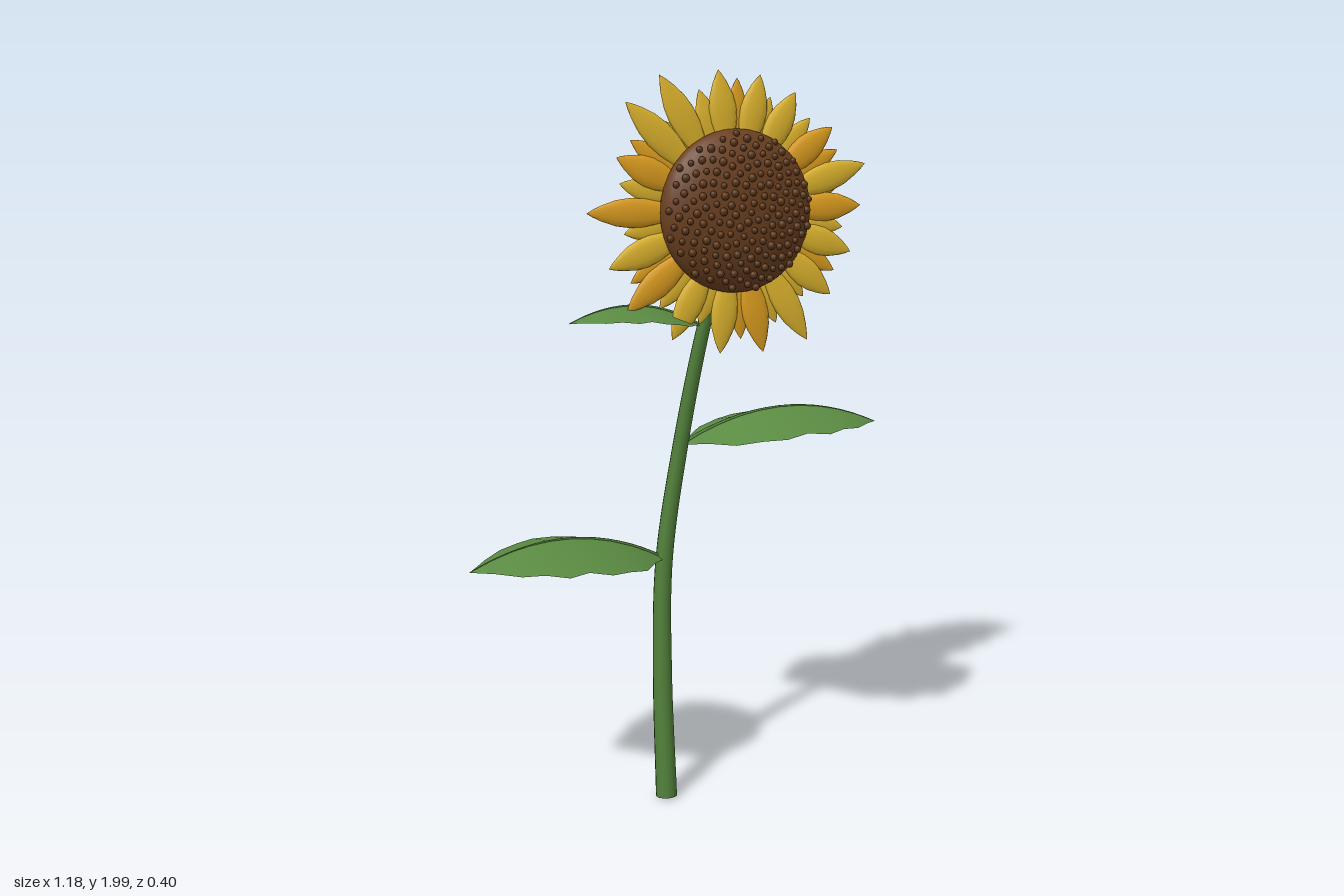
import * as THREE from 'three';
import { mergeGeometries } from 'three/addons/utils/BufferGeometryUtils.js';

const paint = (name, color, side = THREE.FrontSide) => {
  const m = new THREE.MeshStandardMaterial({ color, side });
  m.name = name;
  return m;
};

const HEAD = new THREE.Vector3(0.14, 1.635, 0.062);
const DISC_R = 0.212, DISC_D = 0.074;

// Tapered tube along a curve
function taperedTube(curve, r0, r1, steps, sides) {
  const g = new THREE.TubeGeometry(curve, steps, 1, sides);
  const p = g.attributes.position, v = new THREE.Vector3();
  for (let i = 0; i <= steps; i++) {
    const c = curve.getPointAt(i / steps);
    const r = r0 + (r1 - r0) * i / steps;
    for (let j = 0; j <= sides; j++) {
      const k = i * (sides + 1) + j;
      v.fromBufferAttribute(p, k).sub(c).multiplyScalar(r).add(c);
      p.setXYZ(k, v.x, v.y, v.z);
    }
  }
  return g;
}

// Toothed leaf outline: [distance along leaf, half width], for a leaf of length 1
const OUTLINE = [[0, 0.008], [0.09, 0.12], [0.18, 0.245], [0.29, 0.3], [0.39, 0.345], [0.5, 0.318],
  [0.6, 0.343], [0.7, 0.275], [0.8, 0.226], [0.9, 0.115], [1, 0]];

function makeLeaf(name, base, tip, leafMat, veinMat) {
  const group = new THREE.Group();
  group.name = name;
  const len = Math.abs(tip.x - base.x);
  const rib = t => new THREE.Vector3(
    base.x + (tip.x - base.x) * t,
    base.y + len * (0.6 * t - 0.53 * t * t),
    base.z + (tip.z - base.z) * t);
  // Two halves folded along the midrib
  const halves = [-1, 1].map(side => {
    const pos = [], idx = [];
    OUTLINE.forEach(([t, w], i) => {
      const c = rib(t);
      pos.push(c.x, c.y, c.z, c.x, c.y - 0.24 * w * len, c.z + side * w * len);
      if (i === 0) return;
      const a = 2 * i - 2, b = 2 * i;
      if (side * (tip.x - base.x) > 0) idx.push(a, a + 1, b, b, a + 1, b + 1);
      else idx.push(a, b, a + 1, b, b + 1, a + 1);
    });
    const g = new THREE.BufferGeometry();
    g.setAttribute('position', new THREE.Float32BufferAttribute(pos, 3));
    g.setIndex(idx);
    g.computeVertexNormals();
    return g;
  });
  const blade = new THREE.Mesh(mergeGeometries(halves), leafMat);
  blade.name = 'leafBlade';
  const curve = new THREE.CatmullRomCurve3(OUTLINE.map(o => rib(o[0])));
  const vein = new THREE.Mesh(taperedTube(curve, 0.006, 0.001, 16, 6), veinMat);
  vein.name = 'leafVein';
  group.add(blade, vein);
  return group;
}

// Pointed petal growing outward along +y from inside the disc
function petalGeometry(length, halfWidth) {
  const r0 = 0.15;
  const profile = [[0, 0.3], [0.2, 0.68], [0.4, 0.95], [0.55, 1], [0.7, 0.86], [0.85, 0.52], [0.94, 0.24], [1, 0]]
    .map(([t, w]) => new THREE.Vector2(w * halfWidth, r0 + (length - r0) * t));
  return new THREE.LatheGeometry(profile, 12).scale(1, 1, 0.28);
}

export function createModel() {
  const model = new THREE.Group();
  model.name = 'sunflower';
  const stemMat = paint('stemGreen', 0x4f7d38);
  const leafMat = paint('leafGreen', 0x5a8a42, THREE.DoubleSide);
  const yellow = paint('petalYellow', 0xe0b62e);
  const orange = paint('petalOrange', 0xe0a020);
  const brown = paint('discBrown', 0x6b4020);
  const seedMat = paint('seedBrown', 0x5c3719);

  // Stem
  const path = new THREE.CatmullRomCurve3([
    [-0.055, 0.005, 0.055], [-0.048, 0.35, 0.005], [-0.03, 0.67, -0.03], [0.022, 1.0, -0.037],
    [0.07, 1.3, -0.005], [0.1, 1.45, 0.02], [0.11, 1.5, 0.045]].map(p => new THREE.Vector3(...p)));
  const stem = new THREE.Mesh(taperedTube(path, 0.03, 0.017, 40, 14), stemMat);
  stem.name = 'stem';
  const cap = new THREE.Mesh(new THREE.CircleGeometry(0.03, 14), stemMat);
  cap.name = 'stemBase';
  cap.position.copy(path.getPointAt(0));
  cap.lookAt(cap.position.clone().sub(path.getTangentAt(0)));
  model.add(stem, cap);

  // Leaves
  const V = (x, y, z) => new THREE.Vector3(x, y, z);
  model.add(
    makeLeaf('lowerRightLeaf', V(-0.03, 0.68, -0.03), V(-0.592, 0.72, 0.035), leafMat, stemMat),
    makeLeaf('middleLeftLeaf', V(0.025, 1.0, -0.037), V(0.587, 1.04, 0.035), leafMat, stemMat),
    makeLeaf('upperRightLeaf', V(0.068, 1.33, -0.005), V(-0.315, 1.355, 0.045), leafMat, stemMat));

  // Flower head
  const head = new THREE.Group();
  head.name = 'flowerHead';
  head.position.copy(HEAD);
  model.add(head);
  const disc = new THREE.Mesh(new THREE.SphereGeometry(DISC_R, 32, 20).scale(1, 1, DISC_D / DISC_R), brown);
  disc.name = 'disc';
  head.add(disc);

  // Seeds in a golden-angle spiral over the front of the disc
  const seeds = [], count = 170;
  for (let i = 0; i < count; i++) {
    const q = Math.sqrt((i + 0.5) / count) * 0.96, a = i * 2.39996;
    seeds.push(new THREE.SphereGeometry(0.0085 + 0.0025 * ((i * 7) % 5) / 4, 8, 6).translate(
      DISC_R * q * Math.cos(a), DISC_R * q * Math.sin(a), DISC_D * Math.sqrt(1 - q * q) + 0.002));
  }
  const seedMesh = new THREE.Mesh(mergeGeometries(seeds), seedMat);
  seedMesh.name = 'seeds';
  head.add(seedMesh);

  // Long front petals: [angle in degrees, tip radius, 1 if orange]
  const front = [[2, 0.37, 1], [18, 0.4, 0], [38, 0.355, 1], [61, 0.35, 0], [79, 0.355, 0], [98, 0.362, 0],
    [121.6, 0.402, 0], [137.6, 0.408, 0], [157, 0.355, 1], [180, 0.407, 1], [202, 0.377, 0], [220, 0.395, 1],
    [242, 0.376, 0], [264, 0.377, 0], [283, 0.386, 1], [302, 0.411, 0], [321.5, 0.365, 0], [342, 0.361, 0]];
  const addPetal = (name, angle, length, width, z, mat) => {
    const petal = new THREE.Mesh(petalGeometry(length, width), mat);
    petal.name = name;
    petal.rotation.z = THREE.MathUtils.degToRad(angle - 90);
    petal.position.z = z;
    head.add(petal);
  };
  front.forEach(([angle, length, isOrange], i) => {
    addPetal('frontPetal', angle, length, 0.038, -0.008, isOrange ? orange : yellow);
    // Shorter petals behind, in the gaps
    addPetal('backPetal', angle + 10, 0.31 + 0.03 * ((i * 5) % 3) / 2, 0.031, -0.016, i % 3 === 1 ? orange : yellow);
  });

  return model;
}
